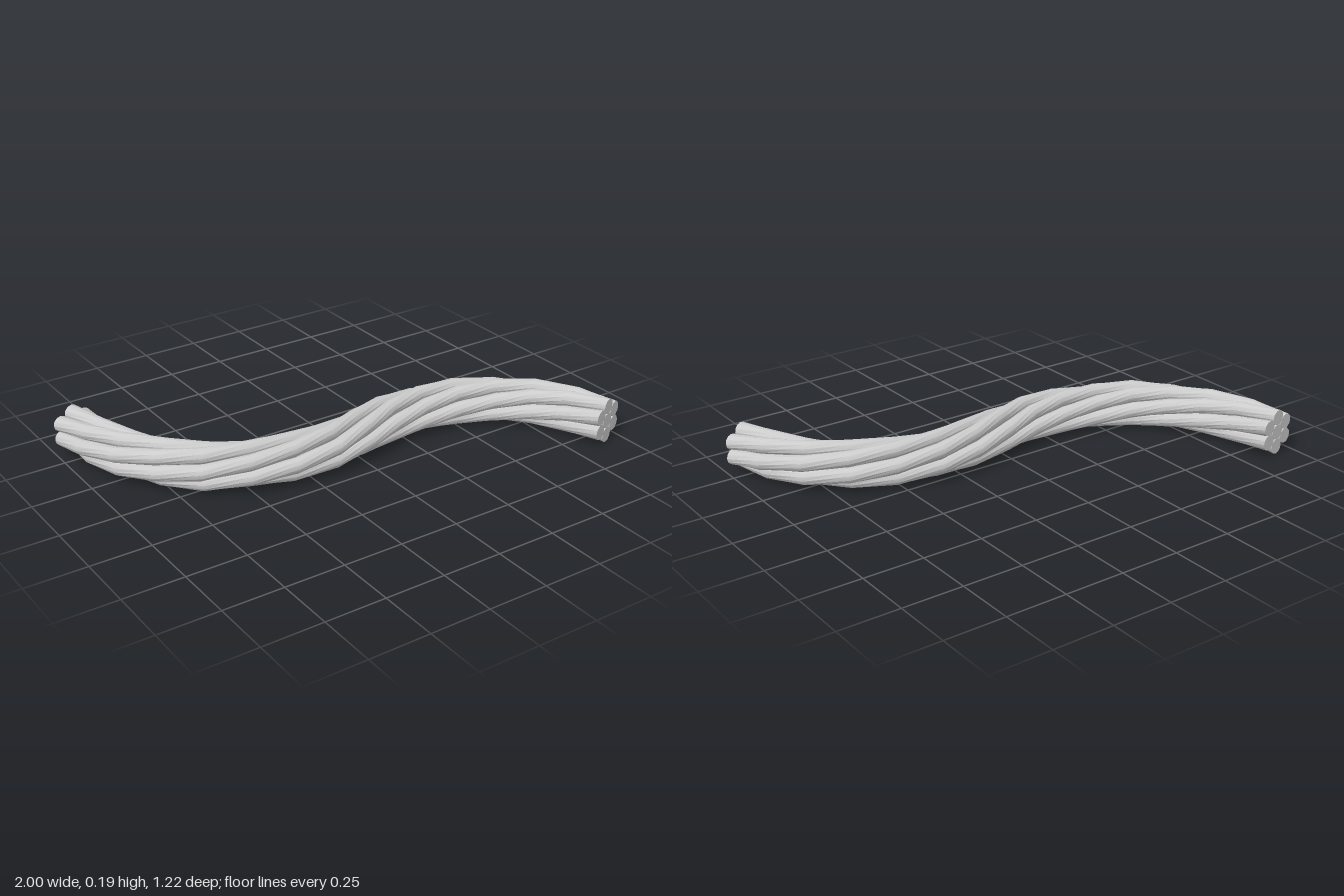
import * as THREE from 'three';
import { toCreasedNormals } from 'three/addons/utils/BufferGeometryUtils.js';

const STEPS = 15, SIDES = 12;
const STRAND_R = 0.033, RING_R = 0.064, TWIST = -Math.PI * 2, MID_Y = 0.097;

// S-shaped centre line of the rope, as [x, z]
const path = new THREE.CatmullRomCurve3([
  [-0.91, -0.6], [-0.87, -0.36], [-0.77, -0.16], [-0.64, -0.01], [-0.53, 0.05],
  [-0.39, 0.1], [-0.2, 0.125], [-0.03, 0.1], [0.12, 0.065], [0.3, 0.05],
  [0.46, 0.07], [0.61, 0.13], [0.74, 0.225], [0.84, 0.36], [0.915, 0.58],
].map(([x, z]) => new THREE.Vector3(x, MID_Y, z)));

// One strand: round cross-sections that circle the centre line at a given offset
function strandGeometry(offset, phase) {
  const up = new THREE.Vector3(0, 1, 0);
  const positions = [], index = [];
  const ends = [];
  for (let i = 0; i <= STEPS; i++) {
    const t = i / STEPS;
    const centre = path.getPointAt(t);
    const side = path.getTangentAt(t).cross(up).normalize();
    const spin = phase + TWIST * t;
    const place = (radius, angle, from) => from.clone()
      .addScaledVector(up, radius * Math.cos(angle))
      .addScaledVector(side, radius * Math.sin(angle));
    const core = place(offset, spin, centre);
    if (i === 0 || i === STEPS) ends.push(core);
    for (let j = 0; j < SIDES; j++) {
      positions.push(...place(STRAND_R, spin + (j / SIDES) * Math.PI * 2, core).toArray());
    }
  }
  // side walls
  for (let i = 0; i < STEPS; i++) {
    for (let j = 0; j < SIDES; j++) {
      const a = i * SIDES + j, b = i * SIDES + (j + 1) % SIDES;
      index.push(a, b, a + SIDES, b, b + SIDES, a + SIDES);
    }
  }
  // flat cut ends
  const first = positions.length / 3, last = STEPS * SIDES;
  ends.forEach((p) => positions.push(p.x, p.y, p.z));
  for (let j = 0; j < SIDES; j++) {
    const k = (j + 1) % SIDES;
    index.push(first, k, j, first + 1, last + j, last + k);
  }
  const geometry = new THREE.BufferGeometry();
  geometry.setAttribute('position', new THREE.Float32BufferAttribute(positions, 3));
  geometry.setIndex(index);
  return toCreasedNormals(geometry, Math.PI / 4);
}

export function createModel() {
  const rope = new THREE.Group();
  rope.name = 'rope';
  const material = new THREE.MeshStandardMaterial({ color: 0xcccccc });
  const addStrand = (name, offset, phase) => {
    const mesh = new THREE.Mesh(strandGeometry(offset, phase), material);
    mesh.name = name;
    rope.add(mesh);
  };

  // core strand with six strands laid around it
  addStrand('coreStrand', 0, 0);
  for (let i = 0; i < 6; i++) addStrand(`outerStrand${i + 1}`, RING_R, (i * Math.PI) / 3);
  return rope;
}
